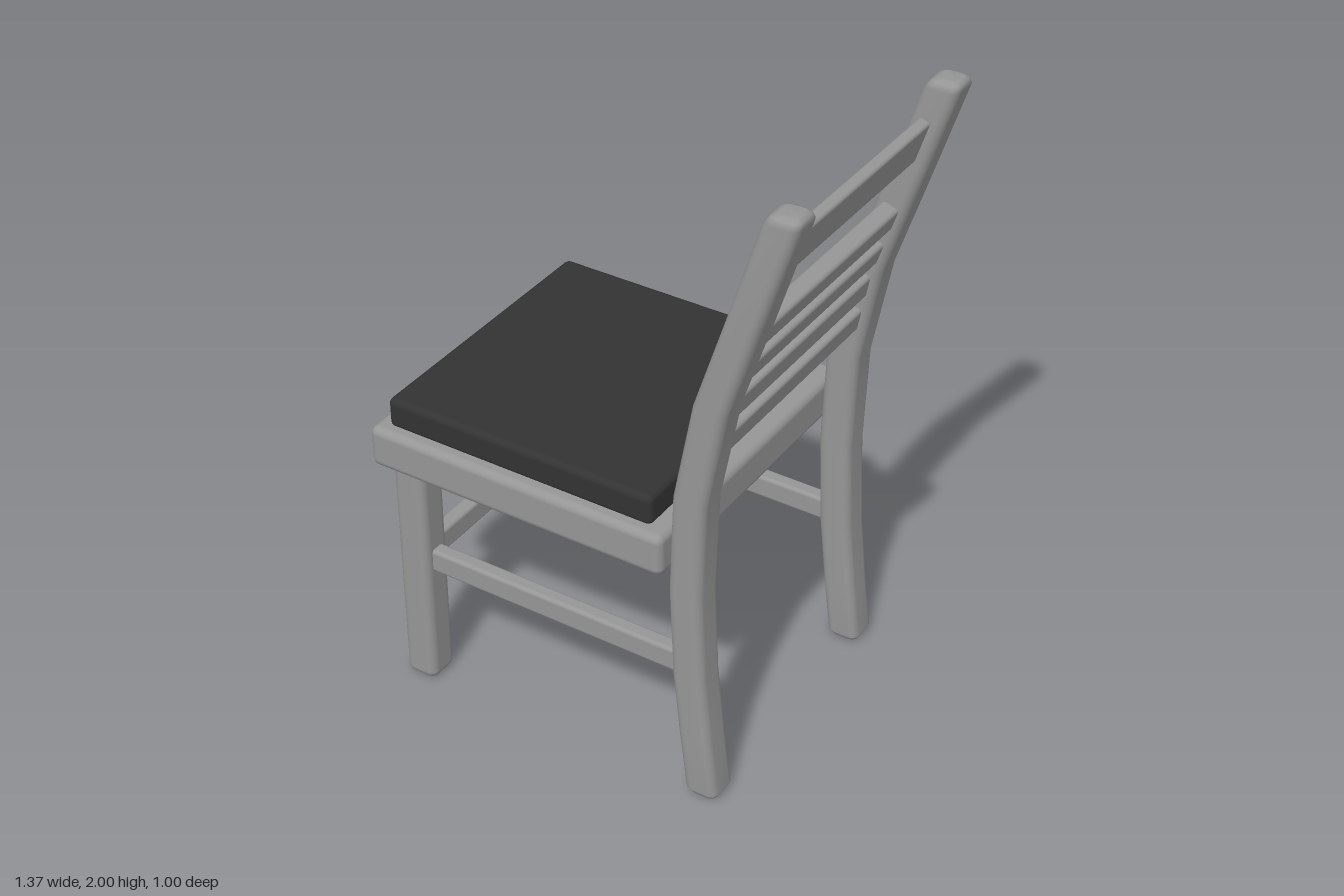
import * as THREE from 'three';
import { RoundedBoxGeometry } from 'three/addons/geometries/RoundedBoxGeometry.js';

// centre line of a back post: [x, y]
const POST = [[0.424, 0], [0.398, 0.2], [0.374, 0.43], [0.361, 0.72], [0.372, 1.04], [0.432, 1.36], [0.525, 1.65], [0.635, 2]];

// point and lean of the back post at a given height
function postAt(y) {
  const i = Math.max(1, POST.findIndex((p) => p[1] >= y));
  const [a, b] = [POST[i - 1], POST[i]];
  const slope = (b[0] - a[0]) / (b[1] - a[1]);
  return { x: a[0] + slope * (y - a[1]), lean: -Math.atan(slope) };
}

// loft of rounded squares along the post, drawn in at both ends
function postGeometry() {
  const hx = 0.053, hz = 0.055, r = 0.028, steps = 4;
  const ends = [[0, 0.024], [0.007, 0.01], [0.024, 0]];
  const levels = [
    ...ends.map(([y, inset]) => [y, inset]),
    ...POST.slice(1, -1).map((p) => [p[1], 0]),
    ...ends.map(([y, inset]) => [2 - y, inset]).reverse(),
  ];
  const pos = [], index = [];
  const n = 4 * (steps + 1);
  for (const [y, inset] of levels) {
    const cx = postAt(y).x;
    for (let c = 0; c < 4; c++) {
      for (let s = 0; s <= steps; s++) {
        const a = (c + s / steps) * Math.PI / 2;
        const sx = c === 0 || c === 3 ? 1 : -1, sz = c < 2 ? 1 : -1;
        const x = sx * (hx - r) + Math.cos(a) * r, z = sz * (hz - r) + Math.sin(a) * r;
        pos.push(cx + x * (1 - inset / hx), y, z * (1 - inset / hz));
      }
    }
  }
  for (let l = 0; l < levels.length - 1; l++) {
    for (let i = 0; i < n; i++) {
      const a = l * n + i, b = l * n + (i + 1) % n;
      index.push(a, a + n, b, b, a + n, b + n);
    }
  }
  // end caps
  const top = (levels.length - 1) * n;
  for (let i = 1; i < n - 1; i++) {
    index.push(0, i, i + 1);
    index.push(top, top + i + 1, top + i);
  }
  const g = new THREE.BufferGeometry();
  g.setAttribute('position', new THREE.Float32BufferAttribute(pos, 3));
  g.setIndex(index);
  g.computeVertexNormals();
  return g;
}

export function createModel() {
  const group = new THREE.Group();
  group.name = 'chair';
  const wood = new THREE.MeshStandardMaterial({ color: 0x969696 });
  wood.name = 'grey wood';
  const fabric = new THREE.MeshStandardMaterial({ color: 0x333333 });
  fabric.name = 'dark cushion';

  const add = (name, geometry, material, x, y, z, lean = 0) => {
    const m = new THREE.Mesh(geometry, material);
    m.name = name;
    m.position.set(x, y, z);
    m.rotation.z = lean;
    group.add(m);
  };
  const box = (w, h, d, r) => new RoundedBoxGeometry(w, h, d, 3, r);

  // seat and cushion
  add('seat', box(0.995, 0.135, 1, 0.025), wood, -0.1925, 0.8425, 0);
  add('cushion', box(0.895, 0.1, 0.915, 0.02), fabric, -0.2, 0.95, 0);

  // legs, posts and side stretchers
  const post = postGeometry();
  for (const [side, s] of [['left', 1], ['right', -1]]) {
    add(side + 'FrontLeg', box(0.108, 0.82, 0.11, 0.028), wood, -0.582, 0.41, s * 0.42);
    add(side + 'BackPost', post, wood, 0, 0, s * 0.42);
    add(side + 'Stretcher', box(0.95, 0.078, 0.05, 0.012), wood, -0.105, 0.449, s * 0.42);
  }
  add('frontStretcher', box(0.05, 0.078, 0.8, 0.012), wood, -0.582, 0.449, 0);

  // back slats and top rail follow the lean of the posts
  for (const y of [1.193, 1.312, 1.433, 1.555]) {
    const p = postAt(y);
    add('backSlat', box(0.055, 0.078, 0.8, 0.012), wood, p.x, y, 0, p.lean);
  }
  const p = postAt(1.815);
  add('topRail', box(0.036, 0.14, 0.8, 0.01), wood, p.x - 0.005, 1.815, 0, p.lean);

  return group;
}
